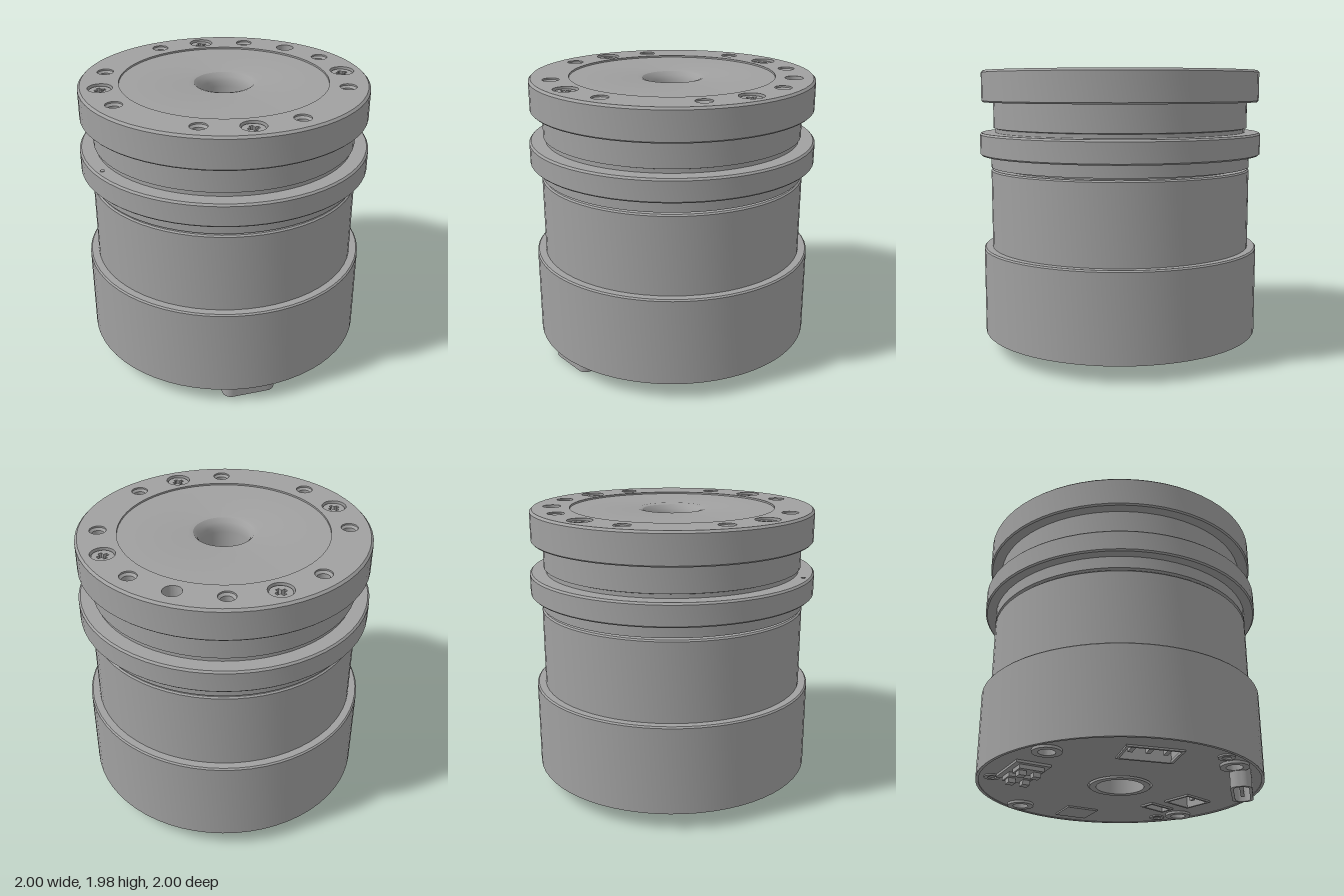
import * as THREE from 'three';
import { toCreasedNormals } from 'three/addons/utils/BufferGeometryUtils.js';

const metal = new THREE.MeshStandardMaterial({ color: 0xa0a0a0 });
metal.name = 'grey metal';

const add = (parent, name, geo, x = 0, y = 0, z = 0) => {
  const m = new THREE.Mesh(geo, metal);
  m.name = name;
  m.position.set(x, y, z);
  parent.add(m);
  return m;
};
const lathe = (pts, seg = 64) =>
  toCreasedNormals(new THREE.LatheGeometry(pts.map(p => new THREE.Vector2(...p)), seg), 0.5);

// Outlines are drawn in plan, with shape y = -z
const circle = (x, z, r, Type = THREE.Path) => new Type().absarc(x, -z, r, 0, Math.PI * 2, false);
const rect = (x, z, w, d, angle = 0, Type = THREE.Path) => {
  const c = Math.cos(angle), s = Math.sin(angle);
  return new Type().setFromPoints([[-1, -1], [1, -1], [1, 1], [-1, 1]].map(([i, j]) => {
    const u = i * w / 2, v = j * d / 2;
    return new THREE.Vector2(x + u * c - v * s, -z + u * s + v * c);
  }));
};
const stadium = (w, d, r, Type) => {
  const a = w / 2 - r, b = d / 2 - r, s = new Type();
  [[a, b], [-a, b], [-a, -b], [a, -b]].forEach(([x, y], i) =>
    s.absarc(x, y, r, i * Math.PI / 2, (i + 1) * Math.PI / 2, false));
  s.closePath();
  return s;
};
const plate = (shape, holes, depth, curveSegments = 24) => {
  shape.holes.push(...holes);
  const g = new THREE.ExtrudeGeometry(shape, { depth, bevelEnabled: false, curveSegments });
  return toCreasedNormals(g.rotateX(-Math.PI / 2), 0.5);
};
// Repeat a plan position at quarter turns
const fourfold = ([x, z]) => [[x, z], [-z, x], [-x, -z], [z, -x]];

export function createModel() {
  const root = new THREE.Group();
  root.name = 'cylindricalActuator';

  // Turned body with a through bore
  add(root, 'body', lathe([
    [0.165, 0.115], [0.21, 0.115], [0.21, 0.2], [0.965, 0.2], [0.965, 0.12], [0.985, 0.12],
    [0.985, 0.725], [0.975, 0.735], [0.925, 0.735], [0.925, 1.28], [0.915, 1.29],
    [0.85, 1.29], [0.85, 1.305], [0.925, 1.305], [0.925, 1.39],
    [0.99, 1.39], [1, 1.4], [1, 1.535], [0.988, 1.548], [0.89, 1.548],
    [0.89, 1.575], [0.904, 1.58], [0.904, 1.76],
    [0.975, 1.76], [0.985, 1.77], [0.985, 1.965], [0.97, 1.98], [0.965, 1.98],
    [0.965, 1.88], [0.71, 1.88], [0.71, 1.968],
    [0.235, 1.968], [0.205, 1.96], [0.18, 1.935], [0.168, 1.905], [0.165, 1.87], [0.165, 0.115],
  ]));
  add(root, 'indexMark', new THREE.CylinderGeometry(0.015, 0.015, 0.008, 16), -0.9, 1.548, 0.3);

  // Output face with its bolt pattern
  const screws = fourfold([0.055, -0.835]);
  const tapped = [...fourfold([-0.27, -0.795]), ...fourfold([0.37, -0.75])];
  add(root, 'outputRing', plate(circle(0, 0, 0.965, THREE.Shape), [
    circle(0, 0, 0.71),
    ...screws.map(([x, z]) => circle(x, z, 0.083)),
    ...tapped.map(([x, z]) => circle(x, z, 0.057)),
    circle(0.63, -0.55, 0.062),
  ], 0.1, 64), 0, 1.88, 0);

  const holeLiner = lathe([[0.058, 1.97], [0.042, 1.955], [0.042, 1.915], [0, 1.885]], 24);
  tapped.forEach(([x, z]) => add(root, 'tappedHole', holeLiner, x, 0, z));

  // Cross-recess screw heads
  const cross = new THREE.Path().setFromPoints(
    [[1, 3], [-1, 3], [-1, 1], [-3, 1], [-3, -1], [-1, -1], [-1, -3], [1, -3], [1, -1], [3, -1], [3, 1], [1, 1]]
      .map(([x, y]) => new THREE.Vector2(x * 0.013, y * 0.013)));
  const head = plate(circle(0, 0, 0.074, THREE.Shape), [cross], 0.085);
  screws.forEach(([x, z]) => { add(root, 'screwHead', head, x, 1.88, z).rotation.y = 0.15; });

  // Underside board with sockets
  const sockets = [
    { name: 'signalSocket', x: 0.57, z: 0.18, w: 0.2, d: 0.09, pins: 4 },
    { name: 'busSocket', x: 0.45, z: 0.42, w: 0.22, d: 0.2, pins: 2 },
    { name: 'powerSocket', x: -0.62, z: 0.3, w: 0.22, d: 0.35, pins: 3 },
  ];
  sockets.forEach(s => { s.angle = s.x > 0 ? -0.63 : Math.atan2(-s.z, s.x); });
  const bosses = fourfold([0.31, -0.8]);
  add(root, 'baseBoard', plate(circle(0, 0, 0.965, THREE.Shape), [
    circle(0, 0, 0.22),
    ...bosses.map(([x, z]) => circle(x, z, 0.055)),
    ...sockets.map(s => rect(s.x, s.z, s.w, s.d, s.angle)),
  ], 0.075, 64), 0, 0.125, 0);

  const boss = plate(circle(0, 0, 0.095, THREE.Shape), [circle(0, 0, 0.055)], 0.03);
  bosses.forEach(([x, z]) => add(root, 'mountingBoss', boss, x, 0.107, z));

  // Socket frames and contacts
  for (const s of sockets) {
    const g = new THREE.Group();
    g.name = s.name;
    g.position.set(s.x, 0, s.z);
    g.rotation.y = s.angle;
    root.add(g);
    add(g, 'socketFrame', plate(rect(0, 0, s.w + 0.025, s.d + 0.025, 0, THREE.Shape),
      [rect(0, 0, s.w - 0.01, s.d - 0.01)], 0.02), 0, 0.113, 0);
    for (let i = 0; i < s.pins; i++) {
      const u = (i + 0.5) / s.pins - 0.5;
      if (s.w > s.d) add(g, 'contact', new THREE.BoxGeometry(0.025, 0.06, 0.03), u * s.w, 0.17, 0);
      else add(g, 'contact', new THREE.BoxGeometry(0.1, 0.06, 0.03), 0, 0.17, u * s.d);
    }
  }

  // Protruding twin plug
  const plug = new THREE.Group();
  plug.name = 'twinPlug';
  plug.position.set(-0.45, 0, -0.56);
  plug.rotation.y = Math.atan2(0.56, -0.45);
  root.add(plug);
  add(plug, 'plugFlange', new THREE.BoxGeometry(0.24, 0.02, 0.36), 0, 0.118, 0);
  for (const side of [-1, 1]) {
    add(plug, 'plugHousing', new THREE.BoxGeometry(0.17, 0.05, 0.12), 0, 0.105, side * 0.09);
    for (const end of [-1, 1])
      add(plug, 'plugPin', new THREE.BoxGeometry(0.05, 0.04, 0.06), end * 0.05, 0.068, side * 0.09);
  }

  // Flat chip and small rivets
  add(root, 'chip', new THREE.BoxGeometry(0.24, 0.012, 0.24), 0.59, 0.12, -0.44)
    .rotation.y = Math.atan2(0.44, 0.59);
  const rivet = plate(circle(0, 0, 0.055, THREE.Shape), [circle(0, 0, 0.03)], 0.012);
  [[0.85, 0.14], [-0.36, -0.8], [-0.48, 0.76]].forEach(([x, z]) => add(root, 'rivet', rivet, x, 0.115, z));

  // Cable port on the underside
  const port = new THREE.Group();
  port.name = 'cablePort';
  port.position.set(-0.065, 0, 0.83);
  root.add(port);
  add(port, 'portShell', plate(stadium(0.37, 0.14, 0.06, THREE.Shape),
    [stadium(0.33, 0.1, 0.045, THREE.Path)], 0.13, 10));
  add(port, 'portFloor', new THREE.BoxGeometry(0.33, 0.02, 0.1), 0, 0.11, 0);
  add(port, 'portTongue', new THREE.BoxGeometry(0.25, 0.09, 0.025), 0, 0.065, 0);

  return root;
}
